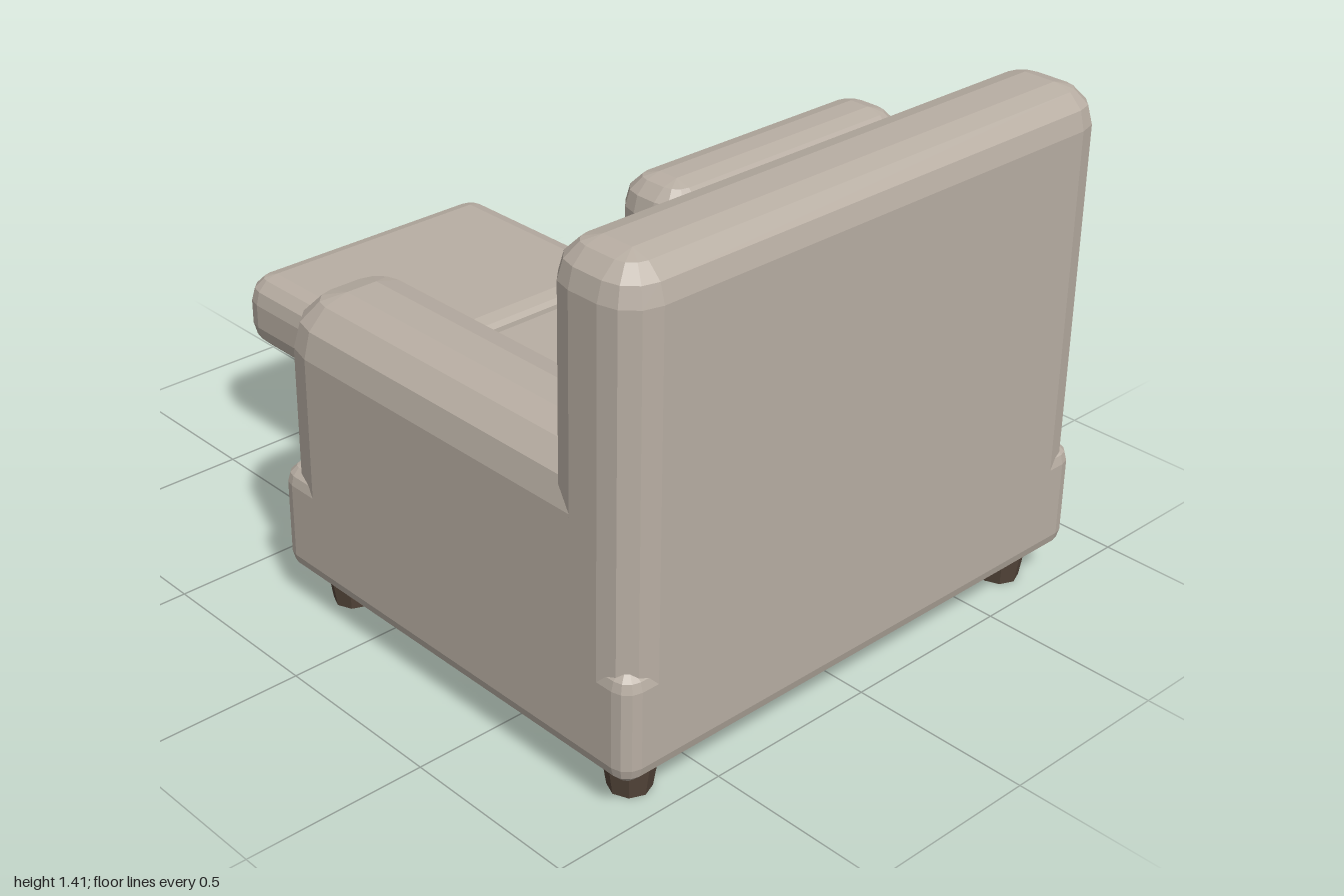
import * as THREE from 'three';
import { ConvexGeometry } from 'three/addons/geometries/ConvexGeometry.js';

const fabric = new THREE.MeshStandardMaterial({ color: 0xb8aea3, flatShading: true });
const wood = new THREE.MeshStandardMaterial({ color: 0x55463a, flatShading: true });

// Box between two corners with every edge bevelled by a three-step round
function softBox(name, [x0, y0, z0], [x1, y1, z1], r, steps = 3) {
  const centre = new THREE.Vector3((x0 + x1) / 2, (y0 + y1) / 2, (z0 + z1) / 2);
  const inner = new THREE.Vector3((x1 - x0) / 2 - r, (y1 - y0) / 2 - r, (z1 - z0) / 2 - r);
  const points = [];
  for (const sx of [-1, 1]) for (const sy of [-1, 1]) for (const sz of [-1, 1]) {
    for (let i = 0; i <= steps; i++) {
      const lat = (i / steps) * Math.PI / 2;
      const turns = i === steps ? 0 : steps;
      for (let j = 0; j <= turns; j++) {
        const lon = (j / steps) * Math.PI / 2;
        points.push(new THREE.Vector3(
          sx * (inner.x + r * Math.cos(lat) * Math.cos(lon)),
          sy * (inner.y + r * Math.sin(lat)),
          sz * (inner.z + r * Math.cos(lat) * Math.sin(lon))
        ));
      }
    }
  }
  const mesh = new THREE.Mesh(new ConvexGeometry(points), fabric);
  mesh.name = name;
  mesh.position.copy(centre);
  return mesh;
}

export function createModel() {
  const chair = new THREE.Group();
  chair.name = 'reclinerArmchair';

  // Base and backrest
  chair.add(softBox('base', [-0.8, 0.1, -0.31], [0.8, 0.41, 1], 0.05));
  chair.add(softBox('backrest', [-0.8, 0.15, 0.71], [0.8, 1.41, 1], 0.1));

  // Arms, running into the backrest
  chair.add(softBox('leftArm', [0.43, 0.15, -0.31], [0.8, 0.9, 0.97], 0.14));
  chair.add(softBox('rightArm', [-0.8, 0.15, -0.31], [-0.43, 0.9, 0.97], 0.14));

  // Cushions
  chair.add(softBox('seatCushion', [-0.4, 0.4, -0.24], [0.4, 0.62, 0.72], 0.07));
  chair.add(softBox('backCushion', [-0.4, 0.6, 0.485], [0.4, 1.04, 0.72], 0.08));
  chair.add(softBox('headrest', [-0.4, 1.06, 0.505], [0.4, 1.37, 0.72], 0.08));

  // Extended footrest
  chair.add(softBox('footrest', [-0.43, 0.36, -1], [0.425, 0.58, -0.26], 0.075));

  // Tapered eight-sided legs
  const legGeometry = new THREE.CylinderGeometry(0.072, 0.055, 0.11, 8);
  for (const x of [-0.675, 0.675]) for (const z of [-0.185, 0.88]) {
    const leg = new THREE.Mesh(legGeometry, wood);
    leg.name = `${z < 0 ? 'footrestSide' : 'backrestSide'}${x > 0 ? 'Left' : 'Right'}Leg`;
    leg.position.set(x, 0.055, z);
    chair.add(leg);
  }
  return chair;
}
